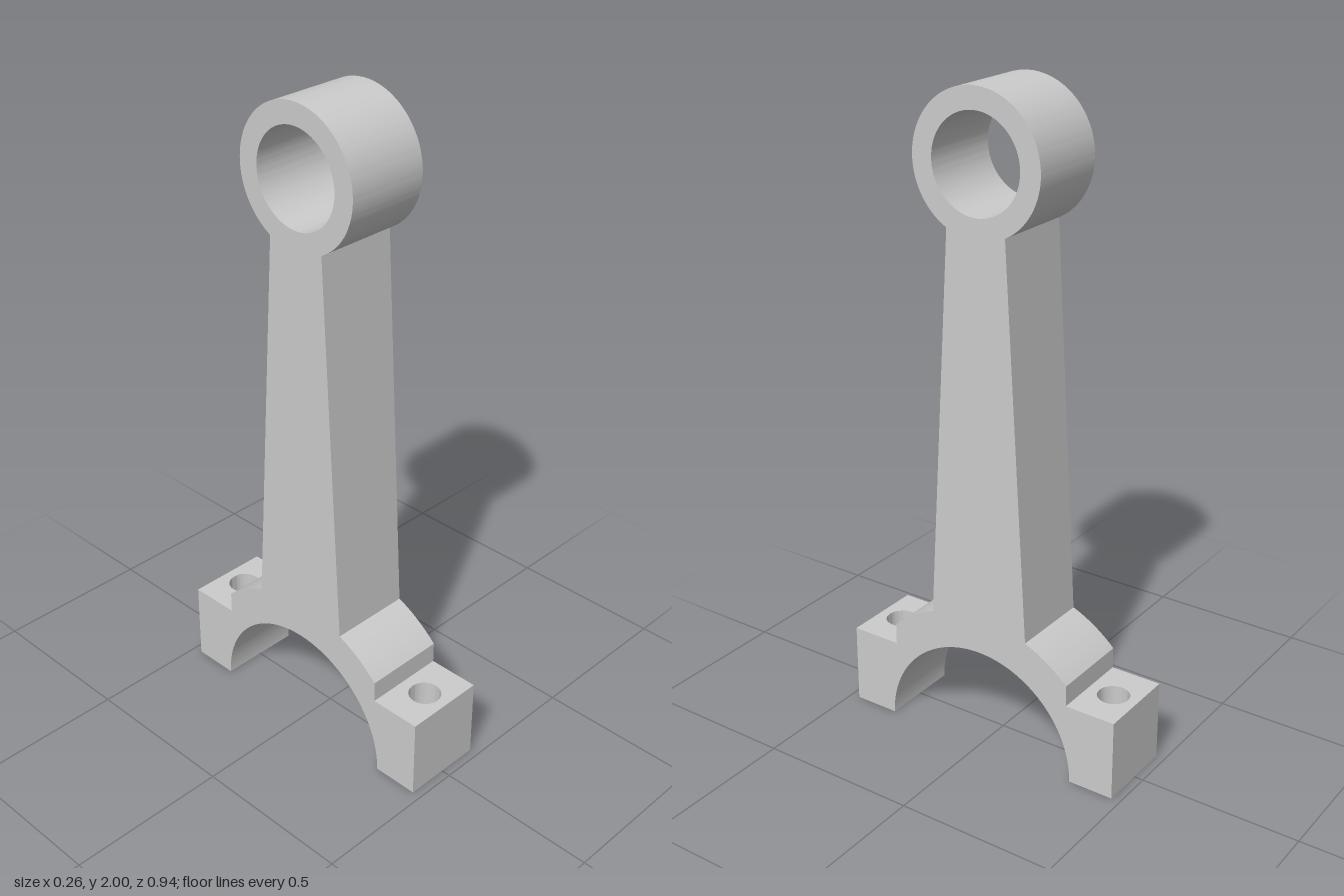
import * as THREE from 'three';
import { toCreasedNormals } from 'three/addons/utils/BufferGeometryUtils.js';

const WIDTH = 0.26;       // thickness along x
const BORE = 0.326;       // big-end half bore radius
const ARCH = 0.445;       // big-end outer radius
const PIN_Y = 1.793;      // small-end centre height
const PIN_OUTER = 0.207;
const PIN_INNER = 0.143;
const LUG_IN = 0.33, LUG_OUT = 0.471, LUG_TOP = 0.253;

const material = new THREE.MeshStandardMaterial({ color: 0xcccccc });

// Extrude a shape by depth, keeping curves smooth and corners sharp
function extrude(shape, depth) {
  const geometry = new THREE.ExtrudeGeometry(shape, { depth, bevelEnabled: false, curveSegments: 64 });
  return toCreasedNormals(geometry, 0.4);
}

// Side profile (z, y): half-bore arch, tapering shank and pin eye
function createRod() {
  const step = 0.31;
  const archStart = Math.acos(step / ARCH);
  const archEnd = Math.acos(0.167 / ARCH);
  const neck = Math.acos(0.096 / PIN_OUTER);

  const s = new THREE.Shape();
  s.moveTo(BORE, 0);
  s.lineTo(LUG_IN, 0);
  s.lineTo(LUG_IN, LUG_TOP);
  s.lineTo(step, LUG_TOP);
  s.absarc(0, 0, ARCH, archStart, archEnd, false);
  s.absarc(0, PIN_Y, PIN_OUTER, -neck, Math.PI + neck, false);
  s.absarc(0, 0, ARCH, Math.PI - archEnd, Math.PI - archStart, false);
  s.lineTo(-step, LUG_TOP);
  s.lineTo(-LUG_IN, LUG_TOP);
  s.lineTo(-LUG_IN, 0);
  s.absarc(0, 0, BORE, Math.PI, 0, true);

  const eye = new THREE.Path();
  eye.absarc(0, PIN_Y, PIN_INNER, 0, Math.PI * 2, true);
  s.holes.push(eye);

  const geometry = extrude(s, WIDTH);
  geometry.translate(0, 0, -WIDTH / 2);
  geometry.rotateY(-Math.PI / 2);
  const rod = new THREE.Mesh(geometry, material);
  rod.name = 'rodBody';
  return rod;
}

// Bolt lug: plan rectangle with a vertical bolt hole
function createLug(side) {
  const depth = LUG_OUT - LUG_IN, h = WIDTH / 2;
  const s = new THREE.Shape();
  s.moveTo(-h, -depth / 2);
  s.lineTo(h, -depth / 2);
  s.lineTo(h, depth / 2);
  s.lineTo(-h, depth / 2);
  s.closePath();

  const centre = (LUG_IN + LUG_OUT) / 2;
  const hole = new THREE.Path();
  hole.absarc(0, -side * (0.392 - centre), 0.0485, 0, Math.PI * 2, true);
  s.holes.push(hole);

  const geometry = extrude(s, LUG_TOP);
  geometry.rotateX(-Math.PI / 2);
  const lug = new THREE.Mesh(geometry, material);
  lug.position.z = side * centre;
  lug.name = side > 0 ? 'frontBoltLug' : 'backBoltLug';
  return lug;
}

export function createModel() {
  const group = new THREE.Group();
  group.name = 'connectingRod';
  group.add(createRod());
  for (const side of [1, -1]) group.add(createLug(side));
  return group;
}
